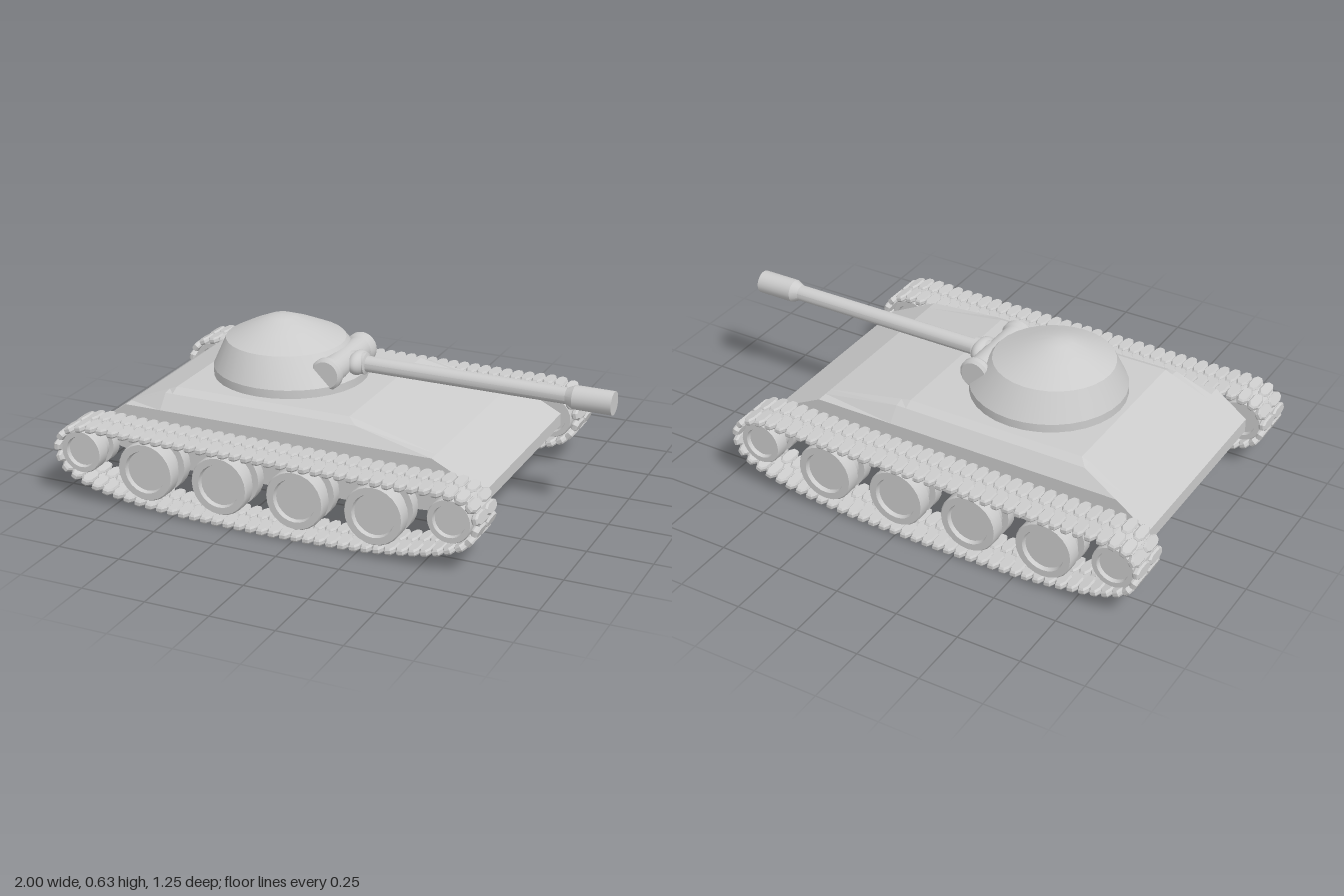
import * as THREE from 'three';
import { mergeGeometries, toCreasedNormals } from 'three/addons/utils/BufferGeometryUtils.js';

const material = new THREE.MeshStandardMaterial({ color: 0xcccccc });
const hullMaterial = new THREE.MeshStandardMaterial({ color: 0xcccccc, flatShading: true });

function part(name, geometry, mat = material) {
  const mesh = new THREE.Mesh(geometry, mat);
  mesh.name = name;
  return mesh;
}

// Turned body from [radius, height] pairs, with sharp edges kept
function turned(profile, segments) {
  const lathe = new THREE.LatheGeometry(profile.map(([r, y]) => new THREE.Vector2(r, y)), segments);
  return toCreasedNormals(lathe, 0.4);
}

// Hull: cross-sections along x, each [x, bottomY, sideY, shoulderY, topY]
function hullGeometry() {
  const sections = [
    [-0.93, 0.18, 0.235, 0.235, 0.235],
    [-0.80, 0.145, 0.33, 0.33, 0.33],
    [-0.65, 0.11, 0.33, 0.385, 0.39],
    [-0.62, 0.105, 0.33, 0.385, 0.402],
    [0.10, 0.105, 0.33, 0.385, 0.402],
    [0.14, 0.105, 0.33, 0.385, 0.394],
    [0.46, 0.125, 0.33, 0.33, 0.33],
    [0.66, 0.18, 0.23, 0.23, 0.23],
  ];
  const positions = [], index = [], n = 8;
  for (const [x, bottom, side, shoulder, top] of sections) {
    const half = [[bottom, 0.415], [side, 0.415], [shoulder, 0.37], [top, 0.335]];
    for (const [y, z] of half) positions.push(x, y, z);
    for (const [y, z] of half.reverse()) positions.push(x, y, -z);
  }
  for (let s = 0; s < sections.length - 1; s++) {
    for (let i = 0; i < n; i++) {
      const a = s * n + i, b = s * n + (i + 1) % n;
      index.push(a, a + n, b, b, a + n, b + n);
    }
  }
  const last = (sections.length - 1) * n;
  for (let i = 1; i < n - 1; i++) {
    index.push(0, i, i + 1);
    index.push(last, last + i + 1, last + i);
  }
  const geometry = new THREE.BufferGeometry();
  geometry.setAttribute('position', new THREE.Float32BufferAttribute(positions, 3));
  geometry.setIndex(index);
  const flat = geometry.toNonIndexed();
  flat.computeVertexNormals();
  return flat;
}

// Turret: turned dome whose upper rings shift backwards
function turretGeometry() {
  const lathe = new THREE.LatheGeometry([
    [0.30, 0.40], [0.30, 0.435], [0.232, 0.542], [0.135, 0.588], [0.05, 0.622], [0, 0.628],
  ].map(([r, y]) => new THREE.Vector2(r, y)), 32);
  const p = lathe.attributes.position;
  for (let i = 0; i < p.count; i++) {
    p.setX(i, p.getX(i) - 0.30 - Math.max(0, p.getY(i) - 0.435) * 0.2);
  }
  return toCreasedNormals(lathe, 0.3);
}

// Wheel with dished faces and a central guide groove, axle along z
function wheelGeometry(r) {
  const half = [[0, 0.058], [0.69 * r, 0.058], [0.73 * r, 0.075], [0.96 * r, 0.075],
    [r, 0.068], [r, 0.022], [0.78 * r, 0.022]];
  const profile = [...half.map(([a, b]) => [a, -b]), ...half.slice().reverse()];
  return turned(profile, 24).rotateX(Math.PI / 2);
}

// One track link: two bevelled pads with tapered ends, joined by a thin strip
function linkGeometry() {
  const shape = new THREE.Shape([
    [-0.008, -0.041], [0.008, -0.041], [0.017, -0.022], [0.017, 0.022],
    [0.008, 0.041], [-0.008, 0.041], [-0.017, 0.022], [-0.017, -0.022],
  ].map(([x, y]) => new THREE.Vector2(x, y)));
  const pad = new THREE.ExtrudeGeometry(shape, {
    depth: 0.012, bevelEnabled: true, bevelThickness: 0.007, bevelSize: 0.005, bevelSegments: 1,
  });
  pad.translate(0, 0, -0.006).rotateX(Math.PI / 2);
  const strip = new THREE.BoxGeometry(0.05, 0.009, 0.14).toNonIndexed();
  return mergeGeometries([pad.clone().translate(0, 0, 0.048), pad.translate(0, 0, -0.048), strip]);
}

// Track: links spaced evenly around a closed path in the xy plane
function trackGeometry() {
  const path = new THREE.CatmullRomCurve3([
    [-0.89, 0.287], [-0.955, 0.262], [-0.987, 0.2], [-0.96, 0.125], [-0.87, 0.075],
    [-0.62, 0.028], [-0.3, 0.013], [0, 0.013], [0.32, 0.028], [0.59, 0.075],
    [0.683, 0.125], [0.712, 0.2], [0.68, 0.262], [0.61, 0.287],
    [0.4, 0.287], [-0.14, 0.287], [-0.68, 0.287],
  ].map(([x, y]) => new THREE.Vector3(x, y, 0)), true);
  path.arcLengthDivisions = 800;
  const link = linkGeometry(), links = [], count = 78;
  for (let i = 0; i < count; i++) {
    const t = path.getTangentAt(i / count);
    const out = new THREE.Vector3(t.y, -t.x, 0);
    const m = new THREE.Matrix4().makeBasis(t, out, new THREE.Vector3().crossVectors(t, out));
    m.setPosition(path.getPointAt(i / count));
    links.push(link.clone().applyMatrix4(m));
  }
  return mergeGeometries(links);
}

export function createModel() {
  const model = new THREE.Group();
  model.name = 'tank';
  model.add(part('hull', hullGeometry(), hullMaterial));
  model.add(part('turret', turretGeometry()));

  // Gun mount: flanged crosswise drum with a flattened ball in front
  const drum = part('gunMountDrum', turned([
    [0, -0.175], [0.052, -0.175], [0.062, -0.165], [0.062, -0.145], [0.052, -0.13],
    [0.052, 0.13], [0.062, 0.145], [0.062, 0.165], [0.052, 0.175], [0, 0.175],
  ], 24).rotateX(Math.PI / 2));
  drum.position.set(-0.075, 0.478, 0);
  const ball = part('gunMountBall', new THREE.SphereGeometry(1, 24, 16));
  ball.scale.set(0.038, 0.046, 0.068);
  ball.position.set(-0.015, 0.48, 0);

  // Gun barrel with collar and thicker muzzle
  const barrel = part('gunBarrel', turned([
    [0, -0.05], [0.042, -0.05], [0.042, 0.018], [0.031, 0.022], [0.031, 0.82],
    [0.045, 0.85], [0.045, 1], [0, 1],
  ], 20).rotateZ(-Math.PI / 2));
  barrel.position.set(0, 0.48, 0);
  model.add(drum, ball, barrel);

  // Running gear, the same on both sides
  const track = trackGeometry();
  const roadWheel = wheelGeometry(0.115), endWheel = wheelGeometry(0.085);
  for (const [side, z] of [['left', 0.53], ['right', -0.53]]) {
    const gear = new THREE.Group();
    gear.name = side === 'left' ? 'nearRunningGear' : 'farRunningGear';
    gear.position.z = z;
    gear.add(part('track', track, hullMaterial));
    for (const x of [-0.615, -0.305, 0.003, 0.315]) {
      const wheel = part('roadWheel', roadWheel);
      wheel.position.set(x, 0.155, 0);
      gear.add(wheel);
    }
    for (const x of [-0.89, 0.605]) {
      const wheel = part('endWheel', endWheel);
      wheel.position.set(x, 0.19, 0);
      gear.add(wheel);
    }
    model.add(gear);
  }
  return model;
}
